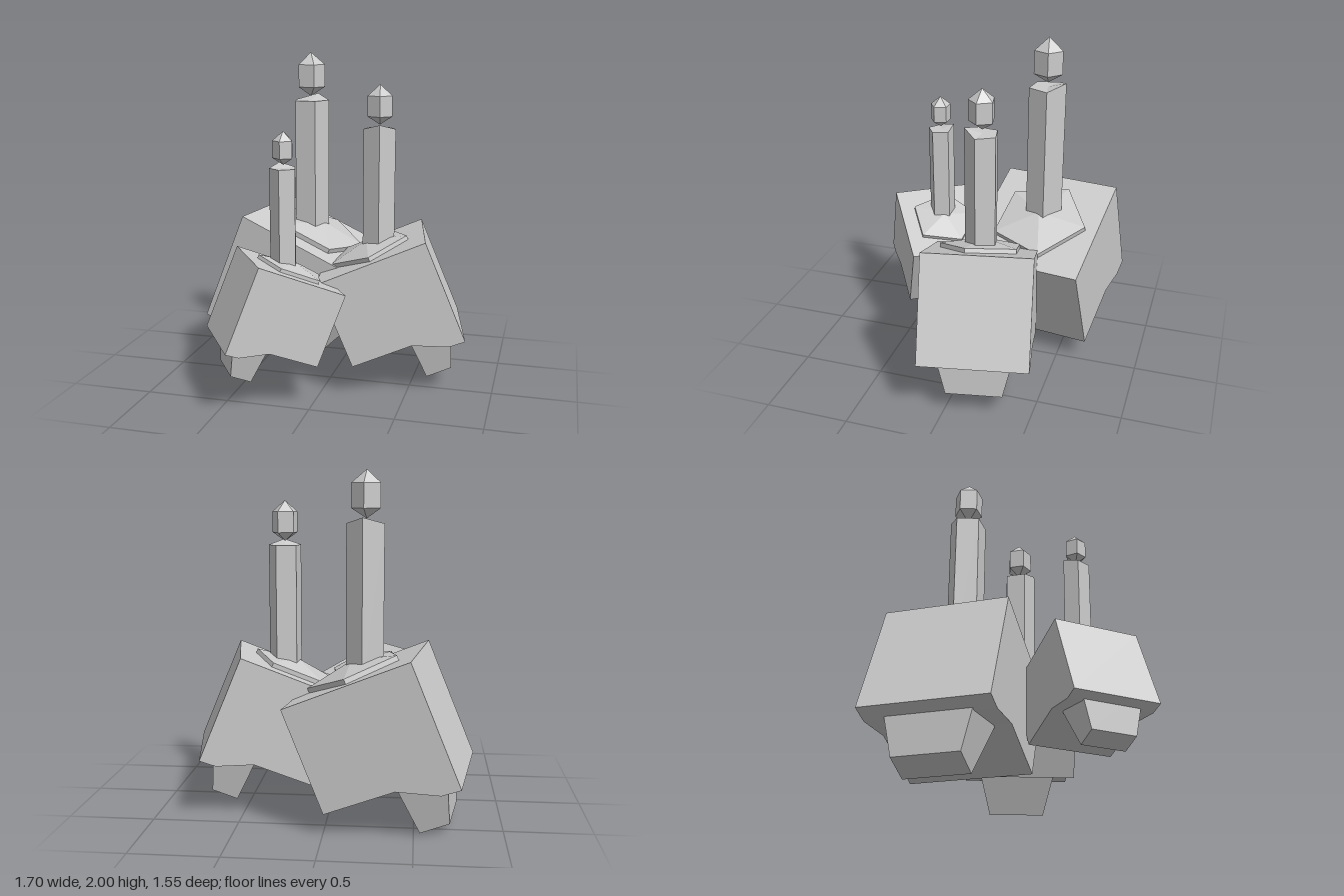
import * as THREE from 'three';

const TILT = Math.PI / 8;
const WIDTH = 0.638;
const material = new THREE.MeshStandardMaterial({ color: 0xcccccc, flatShading: true });

function part(name, geometry, x = 0, y = 0, z = 0) {
  const mesh = new THREE.Mesh(geometry, material);
  mesh.name = name;
  mesh.position.set(x, y, z);
  return mesh;
}

// Blocky head: side profile with a lip along the lower front edge
function headGeometry() {
  const profile = [[0, 0], [-0.675, 0], [-0.675, -0.547], [-0.3, -0.55], [-0.1, -0.636], [0, -0.64]];
  const shape = new THREE.Shape(profile.map(([x, y]) => new THREE.Vector2(x, y)));
  const geometry = new THREE.ExtrudeGeometry(shape, { depth: WIDTH, bevelEnabled: false });
  return geometry.translate(0, 0, -WIDTH / 2);
}

// Jaw: a box narrowing downwards, with a sloping front
function jawGeometry() {
  const geometry = new THREE.BoxGeometry(1, 1, 1);
  const p = geometry.attributes.position;
  for (let i = 0; i < p.count; i++) {
    const top = p.getY(i) > 0, front = p.getX(i) > 0;
    const x = front ? (top ? -0.03 : -0.148) : (top ? -0.315 : -0.305);
    p.setXYZ(i, x, top ? -0.5 : -0.822, Math.sign(p.getZ(i)) * (top ? 0.245 : 0.165));
  }
  return geometry;
}

// Five-sided candle with one raised corner on its rim
function candleGeometry() {
  const bottom = -0.2, top = 0.617, radius = 0.1;
  const geometry = new THREE.CylinderGeometry(radius, radius, top - bottom, 5);
  geometry.translate(0, (top + bottom) / 2, 0);
  const p = geometry.attributes.position;
  for (let i = 0; i < p.count; i++) {
    if (p.getY(i) > 0.5 && p.getZ(i) > radius * 0.9) p.setY(i, top + 0.03);
  }
  return geometry;
}

function lathe(points) {
  return new THREE.LatheGeometry(points.map(([r, y]) => new THREE.Vector2(r, y)), 5);
}

// One head with its jaw, wax, candle and flame; origin at the front top edge
function candleHead(name) {
  const group = new THREE.Group();
  group.name = name;

  const tilted = new THREE.Group();
  tilted.name = 'tiltedHead';
  tilted.rotation.z = TILT;
  tilted.add(
    part('head', headGeometry()),
    part('jaw', jawGeometry()),
    part('waxPool', lathe([[0, -0.01], [0.257, -0.01], [0.257, 0.026], [0, 0.072]]), -0.345, 0, 0)
  );

  group.add(
    tilted,
    part('candle', candleGeometry(), -0.272, 0, 0),
    part('flame', lathe([[0, 0.64], [0.077, 0.69], [0.077, 0.811], [0, 0.877]]), -0.272, 0, 0)
  );
  return group;
}

export function createModel() {
  const model = new THREE.Group();
  model.name = 'candleHeads';
  const placements = [
    ['largeHead', [-0.524, 1.0, -0.381], 3.004, 1.14],
    ['mediumHead', [0.544, 0.95, -0.143], 0.192, 1],
    ['smallHead', [-0.377, 0.875, 0.443], 3.727, 0.81],
  ];
  for (const [name, position, turn, size] of placements) {
    const head = candleHead(name);
    head.position.set(...position);
    head.rotation.y = turn;
    head.scale.setScalar(size);
    model.add(head);
  }
  return model;
}
